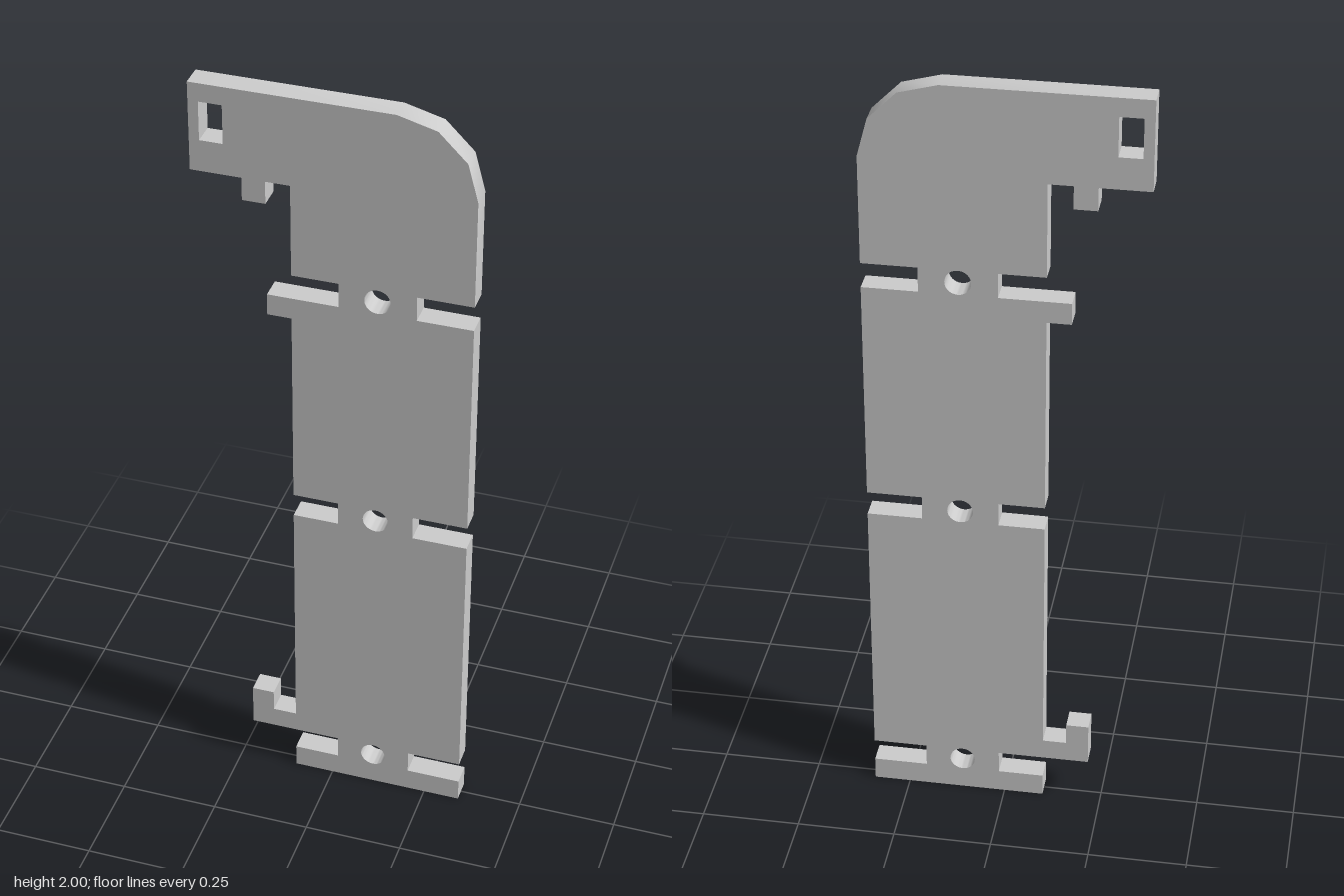
import * as THREE from 'three';
import { toCreasedNormals } from 'three/addons/utils/BufferGeometryUtils.js';

const THICK = 0.058;
const LEFT = -0.1, RIGHT = 0.342;          // edges of the upright
const NECK_L = 0.015, NECK_R = 0.205;      // narrow necks between the slots
const SLOTS = [[0.06, 0.12], [0.828, 0.89], [1.466, 1.53]];

function plateOutline() {
  const s = new THREE.Shape();
  const line = (pts) => pts.forEach(([x, y]) => s.lineTo(x, y));

  // right edge, going up past the slots
  s.moveTo(LEFT, 0);
  s.lineTo(RIGHT, 0);
  for (const [lo, hi] of SLOTS) line([[RIGHT, lo], [NECK_R, lo], [NECK_R, hi], [RIGHT, hi]]);

  // rounded shoulder in three facets
  const r = 0.192;
  for (let i = 0; i <= 3; i++) {
    const a = (i * Math.PI) / 6;
    s.lineTo(RIGHT - r + r * Math.cos(a), 2 - r + r * Math.sin(a));
  }

  // head with a small tab below
  line([[-0.342, 2], [-0.342, 1.772], [-0.217, 1.772], [-0.217, 1.713],
    [-0.16, 1.713], [-0.16, 1.772], [LEFT, 1.772]]);

  // left edge, going down: upper stub, plain slot, lower hook, foot
  const [foot, middle, top] = SLOTS;
  line([[LEFT, top[1]], [NECK_L, top[1]], [NECK_L, top[0]],
    [-0.16, top[0]], [-0.16, 1.41], [LEFT, 1.41]]);
  line([[LEFT, middle[1]], [NECK_L, middle[1]], [NECK_L, middle[0]], [LEFT, middle[0]]]);
  line([[LEFT, 0.175], [-0.16, 0.175], [-0.16, 0.232], [-0.217, 0.232],
    [-0.217, foot[1]], [NECK_L, foot[1]], [NECK_L, foot[0]], [LEFT, foot[0]]]);
  s.closePath();
  return s;
}

export function createModel() {
  const shape = plateOutline();

  // round hole in each neck
  for (const [lo, hi] of SLOTS) {
    const hole = new THREE.Path();
    hole.absarc((NECK_L + NECK_R) / 2, (lo + hi) / 2, 0.032, 0, Math.PI * 2, true);
    shape.holes.push(hole);
  }

  // rectangular window in the head
  shape.holes.push(new THREE.Path([[-0.317, 1.853], [-0.317, 1.953], [-0.26, 1.953], [-0.26, 1.853]]
    .map(([x, y]) => new THREE.Vector2(x, y))));

  const geometry = new THREE.ExtrudeGeometry(shape, { depth: THICK, bevelEnabled: false, curveSegments: 20 });
  geometry.translate(0, 0, -THICK / 2);

  const plate = new THREE.Mesh(
    toCreasedNormals(geometry, 0.6),
    new THREE.MeshStandardMaterial({ color: 0xcccccc })
  );
  plate.name = 'slottedPlate';

  const group = new THREE.Group();
  group.name = 'bracket';
  group.add(plate);
  return group;
}
